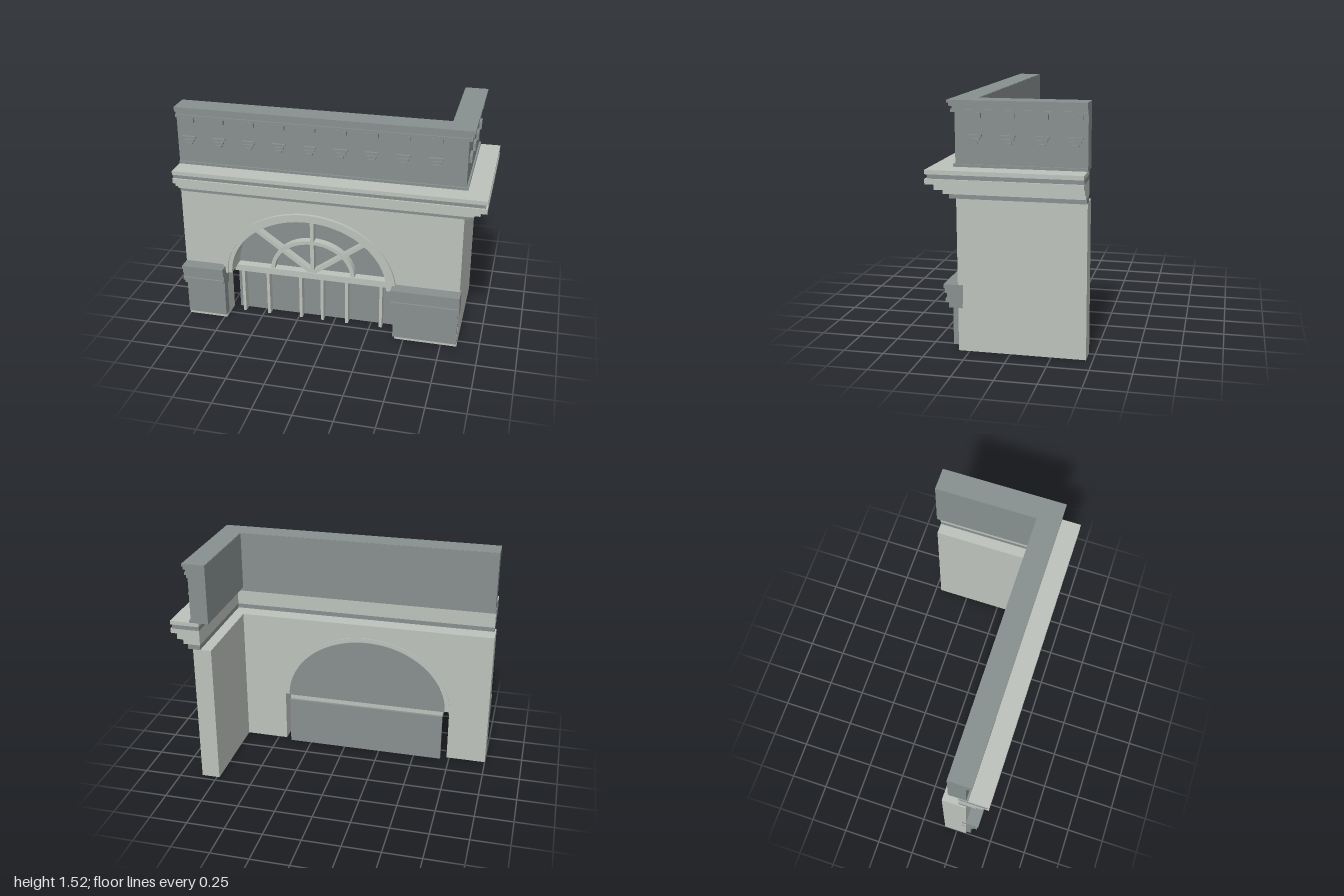
import * as THREE from 'three';
import { toCreasedNormals } from 'three/addons/utils/BufferGeometryUtils.js';

const stone = new THREE.MeshStandardMaterial({ color: 0xbdc2bb });
stone.name = 'pale stone';
const slate = new THREE.MeshStandardMaterial({ color: 0x889090 });
slate.name = 'grey slate';

// Outer corner of the walls, and the arch centre
const WX = 0.855, WZ = 0.318, BACK = -0.46;
const CX = -0.146, CY = 0.365;

export function createModel() {
  const model = new THREE.Group();
  model.name = 'cornerFacade';

  const add = (name, geometry, material, parent = model) => {
    const mesh = new THREE.Mesh(geometry, material);
    mesh.name = name;
    parent.add(mesh);
    return mesh;
  };
  const group = (name) => {
    const g = new THREE.Group();
    g.name = name;
    model.add(g);
    return g;
  };
  // Box given by its two limits on each axis
  const box = (name, x0, x1, y0, y1, z0, z1, material, parent) => {
    const mesh = add(name, new THREE.BoxGeometry(x1 - x0, y1 - y0, z1 - z0), material, parent);
    mesh.position.set((x0 + x1) / 2, (y0 + y1) / 2, (z0 + z1) / 2);
    return mesh;
  };
  // Shape in the front plane, extruded from z0 to z1
  const slab = (name, shape, z0, z1, material, parent) => {
    const geo = new THREE.ExtrudeGeometry(shape, { depth: z1 - z0, bevelEnabled: false, curveSegments: 48 });
    geo.translate(0, 0, z0);
    return add(name, toCreasedNormals(geo, 0.5), material, parent);
  };
  // L-shaped course running along the front and the side
  const course = (name, y0, y1, out, inset, material, parent) => {
    const x1 = WX + out, z1 = WZ + out, x0 = WX - inset, z0 = WZ - inset;
    const shape = new THREE.Shape([
      [-0.99, -z1], [x1, -z1], [x1, -BACK], [x0, -BACK], [x0, -z0], [-0.99, -z0],
    ].map(([x, y]) => new THREE.Vector2(x, y)));
    const geo = new THREE.ExtrudeGeometry(shape, { depth: y1 - y0, bevelEnabled: false });
    geo.rotateX(-Math.PI / 2).translate(0, y0, 0);
    return add(name, geo, material, parent);
  };
  // Half-elliptical ring
  const archRing = (a, b, a2, b2) => {
    const s = new THREE.Shape();
    s.moveTo(CX + a, CY);
    s.absellipse(CX, CY, a, b, 0, Math.PI, false);
    s.lineTo(CX - a2, CY);
    s.absellipse(CX, CY, a2, b2, Math.PI, 0, true);
    s.closePath();
    return s;
  };

  // Walls
  const wall = new THREE.Shape();
  wall.moveTo(-1, 0);
  wall.lineTo(CX - 0.586, 0);
  wall.lineTo(CX - 0.586, CY);
  wall.absellipse(CX, CY, 0.586, 0.488, Math.PI, 0, true);
  wall.lineTo(CX + 0.586, 0);
  wall.lineTo(WX, 0);
  wall.lineTo(WX, 0.95);
  wall.lineTo(-1, 0.95);
  wall.closePath();
  slab('frontWall', wall, 0.162, WZ, stone);
  box('sideWall', 0.733, WX, 0, 0.95, BACK, 0.162, stone);

  // Main cornice, stepping outwards
  const cornice = group('cornice');
  [
    [0.948, 0.98, 0.032, slate], [0.98, 1.01, 0.062, stone], [1.01, 1.048, 0.102, stone],
    [1.048, 1.08, 0.143, stone], [1.08, 1.107, 0.131, slate], [1.107, 1.132, 0.143, stone],
  ].forEach(([y0, y1, out, mat]) => course('corniceCourse', y0, y1, out, 0.05, mat, cornice));

  // Parapet and its mouldings
  const parapet = group('parapet');
  course('parapetWall', 1.132, 1.52, 0, 0.115, slate, parapet);
  [
    [1.132, 1.148, 0.012], [1.45, 1.468, 0.02], [1.468, 1.485, 0.012],
    [1.485, 1.505, 0.027], [1.505, 1.522, 0.036],
  ].forEach(([y0, y1, out]) => course('parapetMoulding', y0, y1, out, 0.112, slate, parapet));

  // Dentils and tapering brackets on both faces of the parapet
  const ornament = (name, along, half, y0, y1, out, onSide) => onSide
    ? box(name, WX, WX + out, y0, y1, along - half, along + half, slate, parapet)
    : box(name, along - half, along + half, y0, y1, WZ, WZ + out, slate, parapet);
  const dentilAndBracket = (along, onSide) => {
    ornament('dentil', along, 0.04, 1.42, 1.45, 0.022, onSide);
    for (let i = 0; i < 5; i++) {
      const top = 1.324 - i * 0.011;
      ornament('bracketStep', along, 0.043 - i * 0.0055, top - 0.011, top, i % 2 ? 0.006 : 0.015, onSide);
    }
  };
  for (let i = 0; i < 9; i++) dentilAndBracket(-0.912 + i * 0.197, false);
  for (let i = 0; i < 4; i++) dentilAndBracket(0.2 - i * 0.197, true);

  // Pilasters with stepped capitals
  const pilaster = (name, x0, x1, capX0, capX1) => {
    const g = group(name);
    box('shaft', x0, x1, 0.037, 0.272, 0.29, 0.35, slate, g);
    [
      [0.272, 0.305, 0.372], [0.305, 0.325, 0.395], [0.325, 0.36, 0.384],
      [0.36, 0.39, 0.396], [0.39, 0.415, 0.404],
    ].forEach(([y0, y1, z]) => box('capitalStep', capX0, capX1, y0, y1, 0.29, z, slate, g));
  };
  pilaster('rightPilaster', -0.993, -0.725, -1, -0.715);
  pilaster('leftPilaster', 0.432, 0.853, 0.42, 0.864);

  // Arch surround
  slab('archOuterMoulding', archRing(0.588, 0.49, 0.555, 0.461), 0.157, 0.34, stone);
  slab('archInnerMoulding', archRing(0.556, 0.462, 0.527, 0.435), 0.157, 0.33, stone);

  // Fanlight
  const fanlight = group('fanlight');
  const pane = new THREE.Shape();
  pane.moveTo(CX + 0.555, CY);
  pane.absellipse(CX, CY, 0.555, 0.461, 0, Math.PI, false);
  pane.closePath();
  slab('fanlightPane', pane, 0.151, 0.162, slate, fanlight);
  slab('innerArchBar', archRing(0.289, 0.24, 0.262, 0.215), 0.162, 0.215, stone, fanlight);
  [[0, 0.435], [-0.395, 0.285], [0.395, 0.285]].forEach(([dx, dy]) => {
    const bar = add('rayBar', new THREE.BoxGeometry(0.025, Math.hypot(dx, dy), 0.054), stone, fanlight);
    bar.position.set(CX + dx / 2, CY + dy / 2, 0.189);
    bar.rotation.z = -Math.atan2(dx, dy);
  });

  // Sill, lower panel and uprights
  box('sill', -0.69, 0.4, 0.325, 0.37, 0.152, 0.222, stone);
  box('lowerPanel', -0.69, 0.4, 0, 0.335, 0.133, 0.151, slate);
  [-0.64, -0.463, -0.233, -0.083, 0.088, 0.323].forEach((x) =>
    box('upright', x - 0.01, x + 0.01, 0, 0.326, 0.151, 0.205, stone));

  return model;
}
